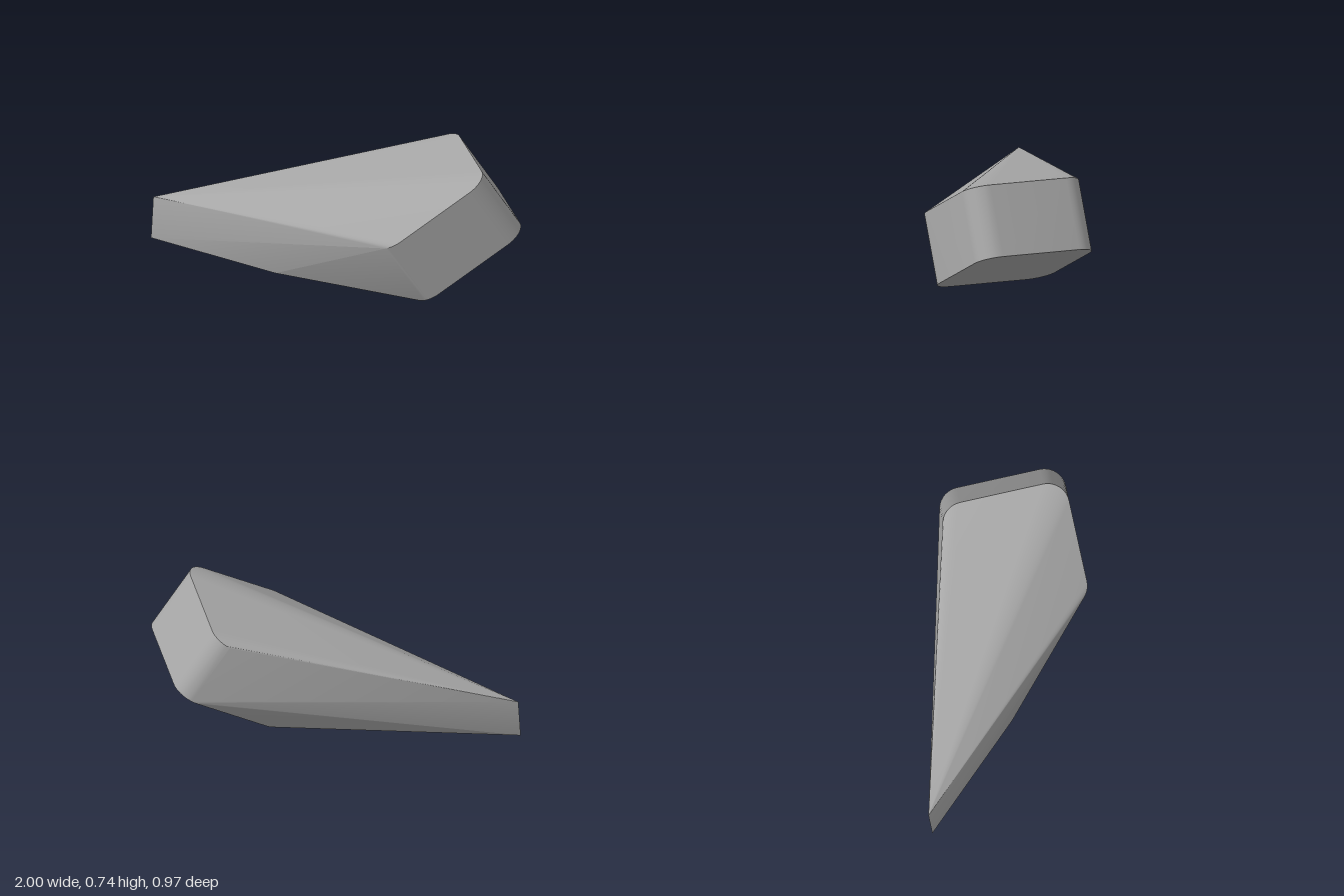
import * as THREE from 'three';
import { ConvexGeometry } from 'three/addons/geometries/ConvexGeometry.js';
import { toCreasedNormals } from 'three/addons/utils/BufferGeometryUtils.js';

const V = (x, y, z) => new THREE.Vector3(x, y, z);

// Points of a rounded square lying in the plane of u and v
function roundedSquare(center, u, v, half, radius, steps = 10) {
  const points = [];
  for (let corner = 0; corner < 4; corner++) {
    const sx = corner === 0 || corner === 3 ? 1 : -1;
    const sy = corner < 2 ? 1 : -1;
    for (let i = 0; i <= steps; i++) {
      const a = (corner + i / steps) * Math.PI / 2;
      points.push(center.clone()
        .addScaledVector(u, sx * (half - radius) + radius * Math.cos(a))
        .addScaledVector(v, sy * (half - radius) + radius * Math.sin(a)));
    }
  }
  return points;
}

export function createModel() {
  const group = new THREE.Group();
  group.name = 'taperedWedge';
  const grey = new THREE.MeshStandardMaterial({ color: 0xa6a6a6 });
  grey.name = 'grey';

  // Tilted block: two parallel rounded squares
  const normal = V(-0.4125, 0.85, 0.325).normalize();
  const u = V(0.71, 0.07, 0.7);
  u.addScaledVector(normal, -u.dot(normal)).normalize();
  const v = normal.clone().cross(u);
  const upper = V(0.432, 0.54, 0.064);
  const lower = upper.clone().addScaledVector(normal, -0.4);

  // Tail edge and lower front corner that the block tapers to
  const tail = [V(-1, 0.285, 0.45), V(-1, 0.042, 0.475), V(-0.22, 0.046, 0.478)];

  const hull = new ConvexGeometry([
    ...roundedSquare(upper, u, v, 0.349, 0.12),
    ...roundedSquare(lower, u, v, 0.349, 0.12),
    ...tail,
  ]);
  const body = new THREE.Mesh(toCreasedNormals(hull, 0.35), grey);
  body.name = 'body';
  group.add(body);
  return group;
}
